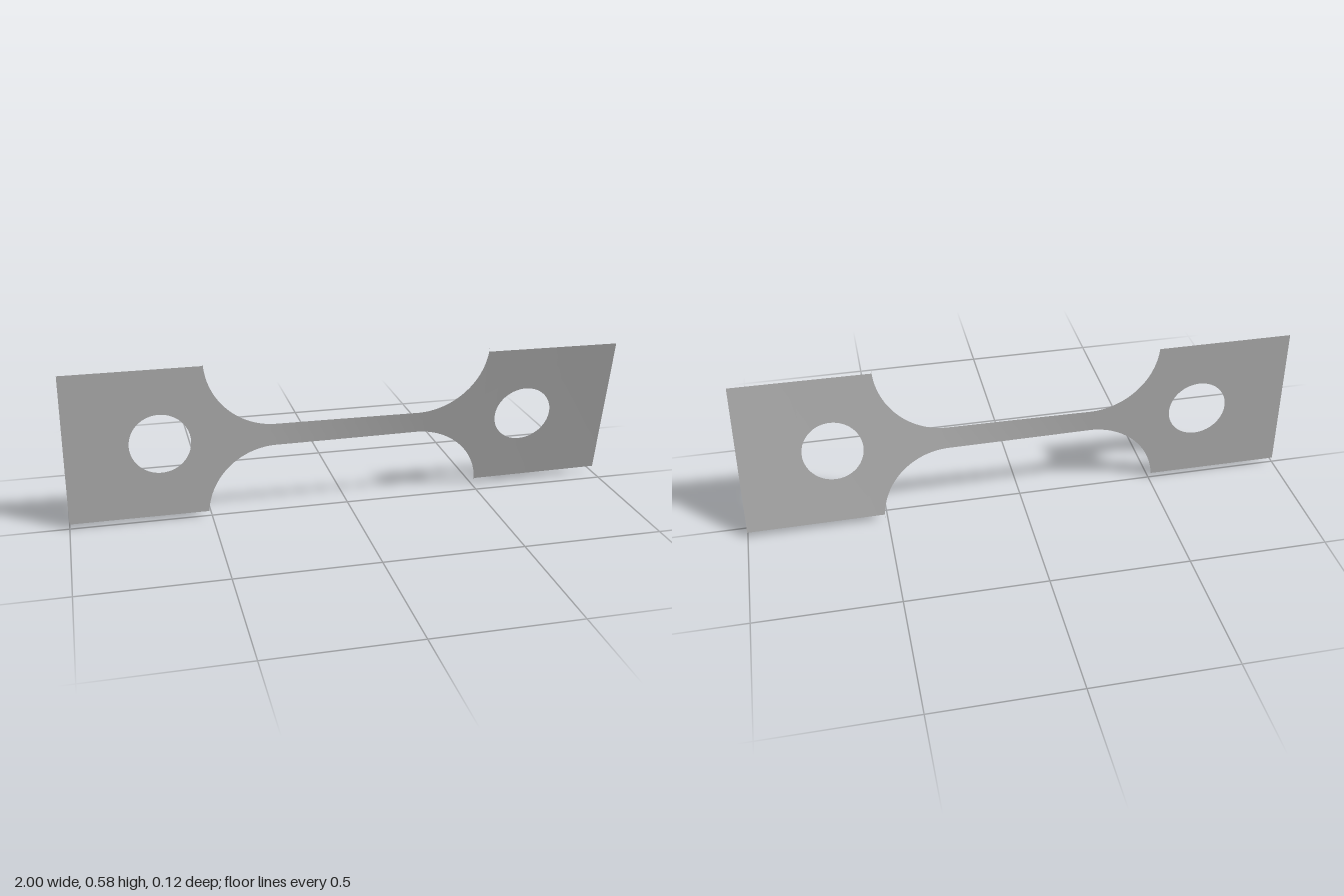
import * as THREE from 'three';
import { mergeGeometries } from 'three/addons/utils/BufferGeometryUtils.js';

const MID = 0.2725;      // height of the long axis
const GRIP = 0.2725;     // half height of the end plates
const NECK = 0.04;       // half height of the narrow gauge
const FILLET = 0.25, FILLET_X = 0.26, SHOULDER = 0.51;
const HOLE_X = 0.67, HOLE_R = 0.108;

// Twist of the sheet along x, in degrees
const TWIST = [[-0.28, 0], [0.28, 10.7], [0.5, 11.2], [1, 12.4]];
function twistAt(x) {
  if (x <= TWIST[0][0]) return 0;
  for (let i = 1; i < TWIST.length; i++) {
    const [x0, a0] = TWIST[i - 1], [x1, a1] = TWIST[i];
    if (x <= x1) return THREE.MathUtils.degToRad(a0 + (a1 - a0) * (x - x0) / (x1 - x0));
  }
  return THREE.MathUtils.degToRad(TWIST[TWIST.length - 1][1]);
}

// Sheet between two edge curves lo(x) and hi(x), then twisted about the long axis.
// Columns bunch up at both ends so that arcs stay round.
function sheet(x0, x1, columns, lo, hi) {
  const g = new THREE.PlaneGeometry(1, 1, columns, 4);
  const p = g.attributes.position;
  for (let i = 0; i < p.count; i++) {
    const u = (1 - Math.cos((p.getX(i) + 0.5) * Math.PI)) / 2;
    const x = x0 + (x1 - x0) * u;
    const d = THREE.MathUtils.lerp(lo(x), hi(x), p.getY(i) + 0.5);
    const a = twistAt(x);
    p.setXYZ(i, x, MID + d * Math.cos(a), d * Math.sin(a));
  }
  g.computeVertexNormals();
  return g;
}

const flat = (h) => () => h;

// Half height along the rounded shoulder
function shoulder(x) {
  const dx = Math.min(Math.abs(x) - FILLET_X, FILLET);
  return NECK + FILLET - Math.sqrt(FILLET * FILLET - dx * dx);
}

// Half height of the bolt hole
function hole(cx) {
  return (x) => Math.sqrt(Math.max(0, HOLE_R * HOLE_R - (x - cx) ** 2));
}

// Sheet over the span between two distances from the centre, on either side
function span(side, near, far, columns, lo, hi) {
  return sheet(Math.min(side * near, side * far), Math.max(side * near, side * far), columns, lo, hi);
}

export function createModel() {
  const group = new THREE.Group();
  const metal = new THREE.MeshStandardMaterial({ color: 0xb0b0b0, side: THREE.DoubleSide });
  metal.name = 'grey metal';

  const add = (name, geometry) => {
    const mesh = new THREE.Mesh(geometry, metal);
    mesh.name = name;
    group.add(mesh);
  };

  // Narrow twisted middle
  add('gauge', sheet(-FILLET_X, FILLET_X, 32, flat(-NECK), flat(NECK)));

  for (const [side, label] of [[1, 'left'], [-1, 'right']]) {
    // Rounded transition from gauge to grip
    add(label + 'Shoulder', span(side, FILLET_X, SHOULDER, 28, (x) => -shoulder(x), shoulder));

    // End plate with a round hole
    const rim = hole(side * HOLE_X);
    const near = HOLE_X - HOLE_R, far = HOLE_X + HOLE_R;
    add(label + 'Grip', mergeGeometries([
      span(side, SHOULDER, near, 2, flat(-GRIP), flat(GRIP)),
      span(side, near, far, 28, rim, flat(GRIP)),
      span(side, near, far, 28, flat(-GRIP), (x) => -rim(x)),
      span(side, far, 1, 6, flat(-GRIP), flat(GRIP)),
    ]));
  }
  return group;
}
